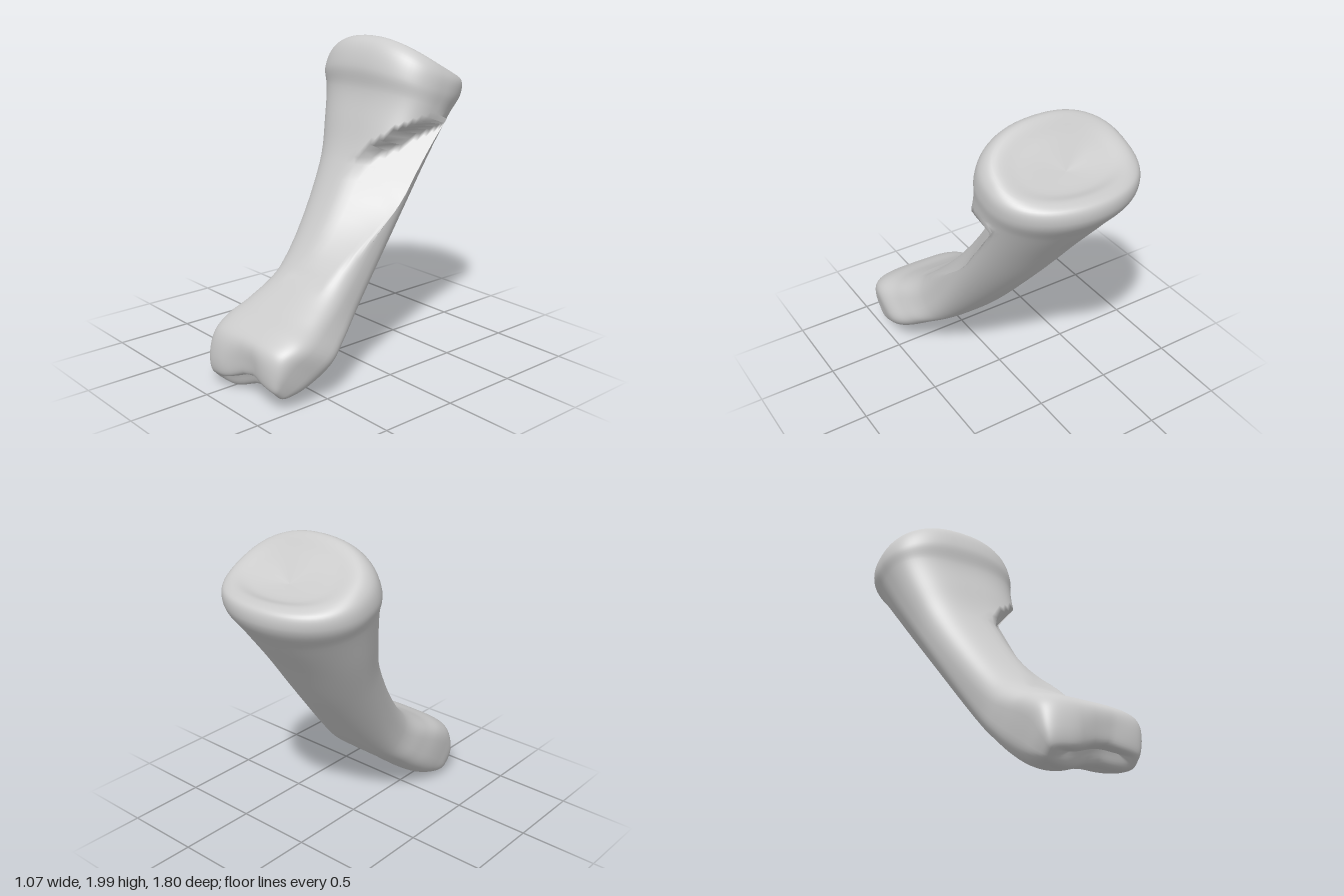
import * as THREE from 'three';

const { lerp, smoothstep } = THREE.MathUtils;
const COLS = 72, STEPS_PER_SECTION = 6;

// Sloping sections from the lower joint up: front z, front y, back z, back y, min x, max x
const SECTIONS = [
  [0.84, 0.08, 0.84, 0.08, 0.00, 0.34],
  [0.89, 0.10, 0.80, 0.01, -0.13, 0.45],
  [0.90, 0.20, 0.72, 0.01, -0.17, 0.49],
  [0.86, 0.35, 0.59, 0.05, -0.19, 0.52],
  [0.76, 0.43, 0.45, 0.14, -0.20, 0.535],
  [0.60, 0.50, 0.30, 0.26, -0.195, 0.48],
  [0.37, 0.66, 0.13, 0.40, -0.19, 0.41],
  [-0.05, 1.24, -0.32, 0.90, -0.33, 0.38],
  [-0.15, 1.50, -0.58, 1.23, -0.43, 0.385],
  [-0.20, 1.68, -0.78, 1.47, -0.50, 0.405],
  [-0.20, 1.82, -0.90, 1.63, -0.535, 0.42],
  [-0.26, 1.96, -0.895, 1.72, -0.52, 0.41],
  [-0.34, 1.995, -0.83, 1.745, -0.46, 0.36],
  [-0.44, 1.91, -0.74, 1.735, -0.32, 0.22],
  [-0.59, 1.77, -0.59, 1.77, -0.05, -0.05],
];

const power = (v, n) => Math.sign(v) * Math.abs(v) ** (2 / n);

// Rounded box at the lower joint, flat-fronted oval on the shaft, saddle-shaped rim at the top
function sectionPoint([fz, fy, bz, by, x0, x1], angle) {
  const height = (fy + by) / 2, sin = Math.sin(angle);
  const n = sin > 0
    ? lerp(4, 2.7, smoothstep(height, 0.2, 0.6))
    : lerp(4, 2, smoothstep(height, 0.2, 1));
  const s = power(sin, n);
  const dx = power(Math.cos(angle), n) * (x1 - x0) / 2;
  const widest = lerp(0.5, 0.44, smoothstep(height, 1.2, 1.7));
  const f = s > 0 ? widest * (1 - s) : widest - (1 - widest) * s;
  const sag = 0.4 * smoothstep(height, 1.55, 1.85) * dx * dx;
  return new THREE.Vector3((x0 + x1) / 2 + dx, lerp(fy, by, f) - sag, lerp(fz, bz, f));
}

// Two unequal knuckles with a groove between them
function shapeKnuckles(p) {
  const fade = 1 - smoothstep(p.y, 0.12, 0.45);
  const groove = Math.exp(-(((p.x - 0.2) / 0.13) ** 2)) * fade;
  const rise = smoothstep(p.x, -0.03, 0.28) * fade;
  p.y += 0.025 * groove + 0.05 * rise;
  p.z -= 0.03 * groove + 0.025 * rise;
}

// Flat cut on the front left of the shaft, ending in a slanted overhang
function cutShaft(p) {
  if (p.x < 0.06 || p.y < 0.6 || p.y > 1.24 + (p.x - 0.06) * 0.82) return;
  const slope = 0.9 * smoothstep(p.y, 0.5, 1.1);
  const front = -0.05 - (p.y - 1.24) * 0.724;
  p.z = Math.min(p.z, front - slope * (p.x - 0.06));
}

export function createModel() {
  const group = new THREE.Group();
  group.name = 'fingerBone';
  const rows = STEPS_PER_SECTION * (SECTIONS.length - 1);

  // Smooth lengthwise curves through the sections, one per column
  const columns = Array.from({ length: COLS }, (_, j) => {
    const angle = (j / COLS) * Math.PI * 2;
    const points = SECTIONS.map((section) => sectionPoint(section, angle));
    return new THREE.CatmullRomCurve3(points).getPoints(rows);
  });

  // Skin between neighbouring columns
  const positions = [], index = [];
  for (let i = 0; i <= rows; i++) {
    for (let j = 0; j < COLS; j++) {
      const p = columns[j][i];
      shapeKnuckles(p);
      cutShaft(p);
      positions.push(p.x, p.y, p.z);
      if (i === rows) continue;
      const a = i * COLS + j, b = i * COLS + (j + 1) % COLS;
      index.push(a, a + COLS, b, b, a + COLS, b + COLS);
    }
  }

  const geometry = new THREE.BufferGeometry();
  geometry.setAttribute('position', new THREE.Float32BufferAttribute(positions, 3));
  geometry.setIndex(index);
  geometry.computeVertexNormals();

  const bone = new THREE.Mesh(geometry, new THREE.MeshStandardMaterial({ color: 0xcccccc }));
  bone.name = 'bone';
  group.add(bone);
  return group;
}
